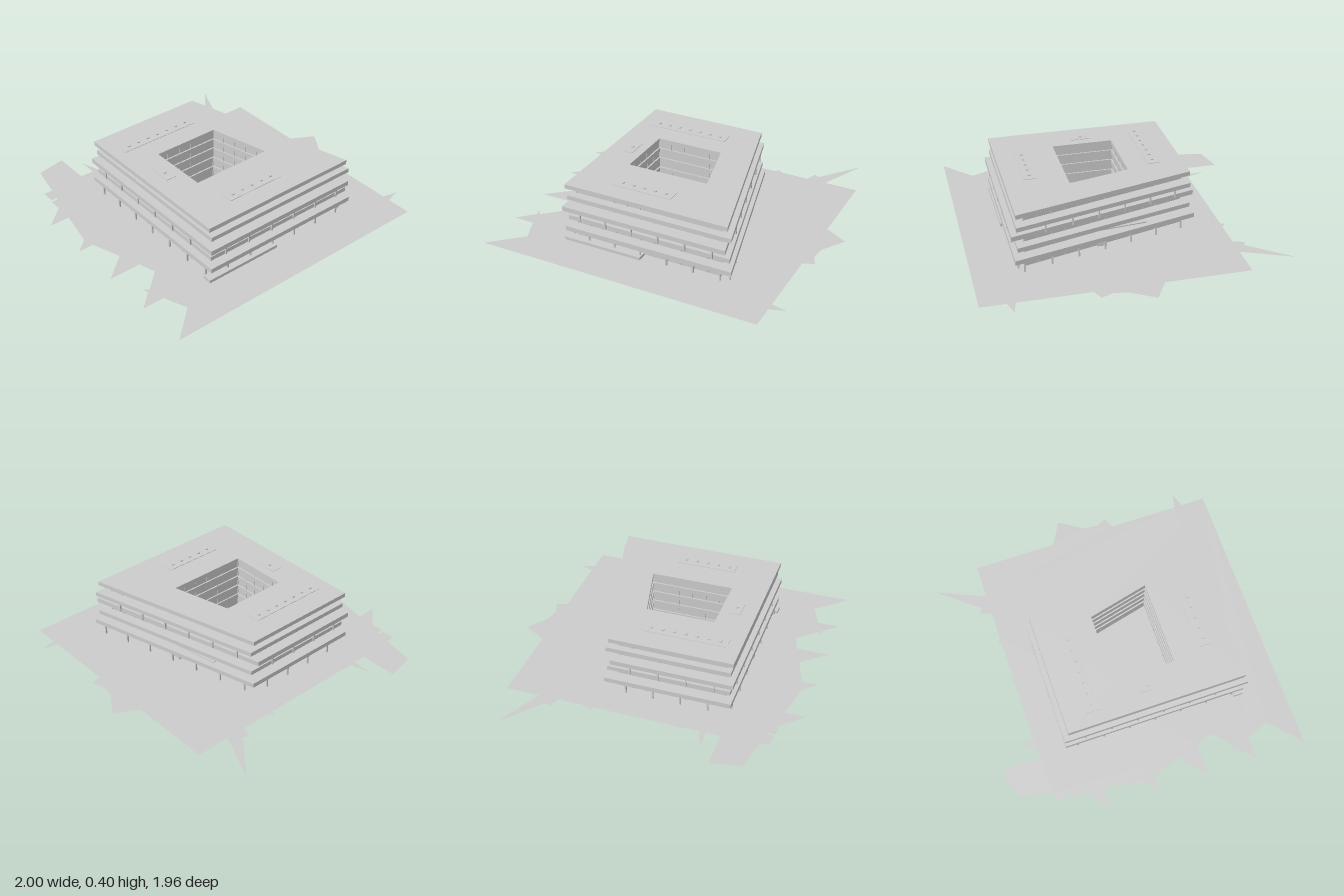
import * as THREE from 'three';

const concrete = new THREE.MeshStandardMaterial({ color: 0xcccccc, side: THREE.DoubleSide });
concrete.name = 'concrete grey';

// Plan outlines are [x, z] corners
function planShape(points, hole) {
  const toV = p => new THREE.Vector2(p[0], -p[1]);
  const shape = new THREE.Shape(points.map(toV));
  if (hole) shape.holes.push(new THREE.Path(hole.map(toV)));
  return shape;
}

function add(parent, name, geometry) {
  const mesh = new THREE.Mesh(geometry, concrete);
  mesh.name = name;
  parent.add(mesh);
  return mesh;
}

function prism(parent, name, points, hole, y0, y1) {
  const g = new THREE.ExtrudeGeometry(planShape(points, hole), { depth: y1 - y0, bevelEnabled: false });
  g.rotateX(-Math.PI / 2).translate(0, y0, 0);
  return add(parent, name, g);
}

function box(parent, name, x, z, y0, y1, w, d) {
  const g = new THREE.BoxGeometry(w, y1 - y0, d);
  return add(parent, name, g.translate(x, (y0 + y1) / 2, z));
}

// Evenly spaced posts from a to b
function posts(parent, name, a, b, count, y0, y1, size) {
  for (let i = 0; i < count; i++) {
    const t = count > 1 ? i / (count - 1) : 0;
    box(parent, name, a[0] + (b[0] - a[0]) * t, a[1] + (b[1] - a[1]) * t, y0, y1, size, size);
  }
}

// Four-sided plan: left x, back z, back-right x, front-right x, front z
const plan = (l, b, br, fr, f) => [[l, b], [br, b], [fr, f], [l, f]];

export function createModel() {
  const model = new THREE.Group();
  model.name = 'courtyardBuilding';

  // Ragged site plate
  const site = [
    [-1, 0.98], [0.85, 0.98], [0.85, 0.82], [0.95, 0.79], [0.85, 0.77], [0.85, 0.31], [0.92, 0.28],
    [0.89, 0.21], [0.9, 0.12], [1, -0.035], [0.85, -0.12], [0.85, -0.665], [0.63, -0.665], [0.77, -0.98],
    [0.56, -0.72], [0.525, -0.74], [0.5, -0.665], [0.315, -0.665], [0.275, -0.69], [0.265, -0.665],
    [-0.42, -0.665], [-0.46, -0.795], [-0.46, -0.665], [-0.55, -0.665], [-0.55, -0.91], [-0.745, -0.87],
    [-0.79, -0.65], [-0.85, -0.65], [-0.85, -0.56], [-0.81, -0.56], [-0.82, -0.545], [-0.86, -0.545],
    [-0.86, -0.46], [-1, -0.335], [-0.865, -0.335], [-0.915, -0.085], [-1, -0.01], [-0.9, -0.01],
    [-0.835, 0.18], [-1, 0.32], [-0.79, 0.32], [-0.755, 0.43], [-0.875, 0.54], [-0.91, 0.515],
    [-0.895, 0.55], [-1, 0.65], [-0.86, 0.65], [-0.8, 0.8],
  ];
  add(model, 'ground', new THREE.ShapeGeometry(planShape(site)).rotateX(-Math.PI / 2));

  // Recessed walls around the courtyard
  const wall = plan(-0.51, -0.41, 0.185, 0.475, 0.65);
  const court = plan(-0.33, -0.085, 0.115, 0.21, 0.31);
  const courtWall = plan(-0.34, -0.095, 0.122, 0.222, 0.32);
  prism(model, 'walls', wall, courtWall, 0.002, 0.37);

  // Shifted floor slabs
  const slabs = [
    [plan(-0.56, -0.485, 0.26, 0.57, 0.72), 0.07, 0.1],
    [plan(-0.545, -0.455, 0.25, 0.55, 0.7), 0.145, 0.173],
    [plan(-0.568, -0.485, 0.22, 0.535, 0.733), 0.215, 0.246],
    [plan(-0.545, -0.455, 0.255, 0.56, 0.705), 0.288, 0.316],
    [plan(-0.56, -0.457, 0.235, 0.535, 0.703), 0.36, 0.388],
  ];
  for (const [points, y0, y1] of slabs) prism(model, 'floorSlab', points, court, y0, y1);

  // Slim window mullions on the outer and courtyard walls
  const mullions = new THREE.Group();
  mullions.name = 'mullions';
  model.add(mullions);
  for (const [outline, counts] of [[wall, [9, 13, 12, 13]], [courtWall, [6, 6, 7, 6]]]) {
    outline.forEach((a, i) => posts(mullions, 'mullion', a, outline[(i + 1) % 4], counts[i], 0.002, 0.365, 0.006));
  }

  // Ground-floor columns under the first slab
  const columns = new THREE.Group();
  columns.name = 'columns';
  model.add(columns);
  posts(columns, 'groundColumn', [-0.41, 0.69], [0.485, 0.69], 6, 0, 0.08, 0.01);
  posts(columns, 'groundColumn', [-0.41, -0.465], [0.125, -0.465], 4, 0, 0.08, 0.01);
  posts(columns, 'groundColumn', [-0.545, 0.65], [-0.545, -0.4], 7, 0, 0.08, 0.01);
  posts(columns, 'groundColumn', [0.535, 0.66], [0.255, -0.4], 7, 0, 0.08, 0.01);

  // Hanging fins at the edges of the upper slabs
  posts(columns, 'fin', [-0.45, 0.72], [0.445, 0.72], 6, 0.16, 0.22, 0.009);
  posts(columns, 'fin', [-0.45, -0.473], [0.09, -0.473], 4, 0.16, 0.22, 0.009);
  posts(columns, 'fin', [-0.556, 0.52], [-0.556, -0.35], 6, 0.16, 0.22, 0.009);
  posts(columns, 'fin', [0.504, 0.52], [0.274, -0.35], 6, 0.235, 0.292, 0.009);

  // Entrance step, side doorway and sloping side ramp
  box(model, 'entranceStep', -0.305, 0.69, 0, 0.02, 0.53, 0.06);
  box(model, 'doorway', 0.335, 0.14, 0, 0.05, 0.04, 0.06);
  const ramp = new THREE.BoxGeometry(0.035, 0.006, 0.415);
  const p = ramp.attributes.position;
  for (let i = 0; i < p.count; i++) {
    const z = p.getZ(i) + 0.0475;
    p.setXYZ(i, p.getX(i) + 0.33 + z * 0.27, p.getY(i) + 0.118 + z * 0.105, z);
  }
  ramp.computeVertexNormals();
  add(model, 'sideRamp', ramp);

  // Roof plinths with rows of small skylights
  const rows = [[-0.425, 0.02, -0.27, 7], [-0.245, 0.05, 0.535, 5], [-0.425, -0.425, 0.105, 1]];
  for (const [x0, x1, z, count] of rows) {
    const w = count > 1 ? x1 - x0 + 0.1 : 0.07;
    box(model, 'roofPlinth', (x0 + x1) / 2, z, 0.386, 0.391, w, count > 1 ? 0.085 : 0.14);
    posts(model, 'skylight', [x0, z], [x1, z], count, 0.39, 0.398, 0.016);
  }
  return model;
}
